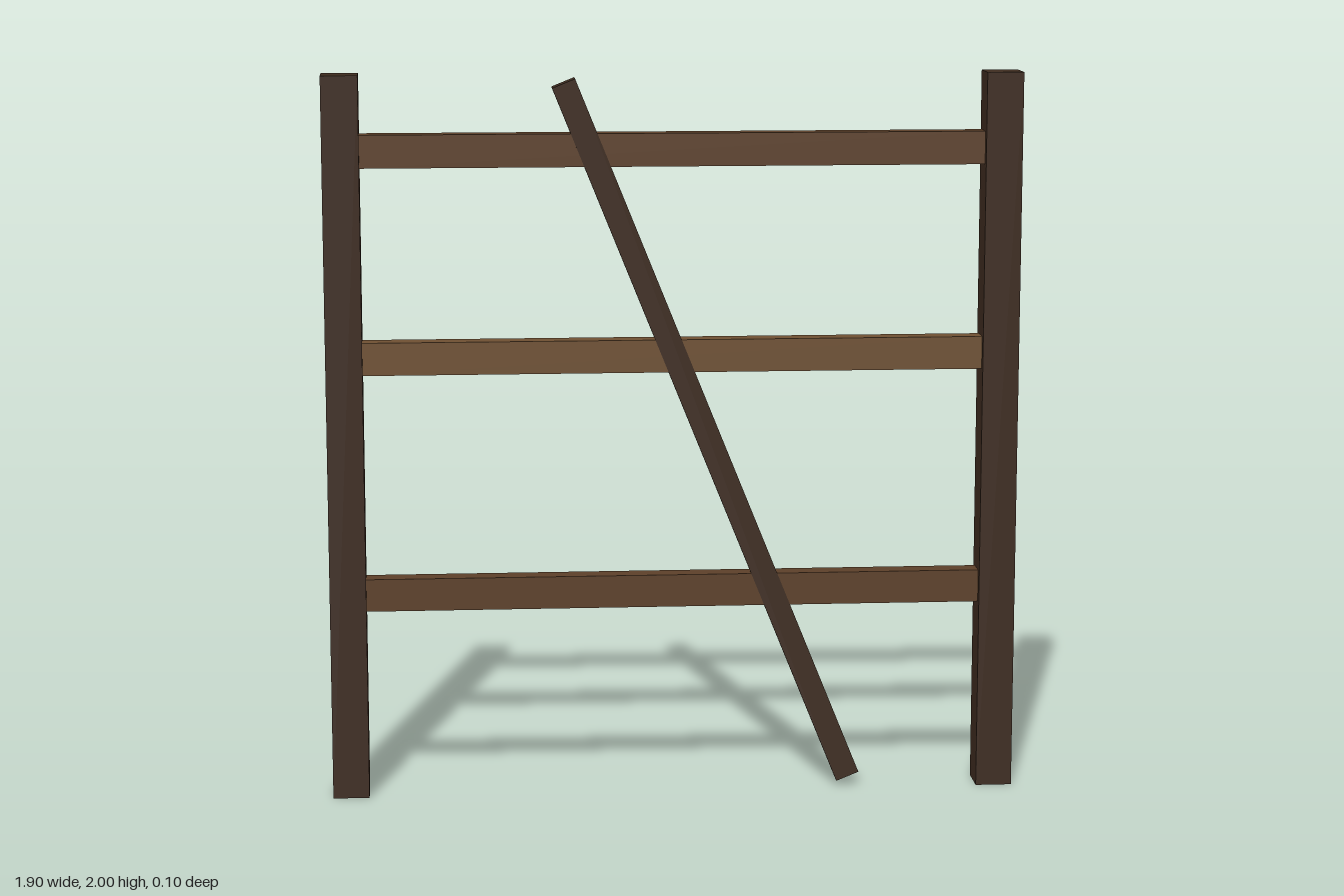
import * as THREE from 'three';

const darkWood = new THREE.MeshStandardMaterial({ color: 0x3d2b1f });
const brownWood = new THREE.MeshStandardMaterial({ color: 0x5c4029 });
const lightWood = new THREE.MeshStandardMaterial({ color: 0x6e5032 });

function beam(name, size, position, material) {
  const mesh = new THREE.Mesh(new THREE.BoxGeometry(...size), material);
  mesh.name = name;
  mesh.position.set(...position);
  return mesh;
}

export function createModel() {
  const fence = new THREE.Group();
  fence.name = 'fencePanel';

  // Upright posts at both ends
  for (const [name, side] of [['leftPost', 1], ['rightPost', -1]]) {
    fence.add(beam(name, [0.1, 2, 0.1], [side * 0.9, 1, 0], darkWood));
  }

  // Horizontal rails running into the posts
  const rails = [
    ['bottomRail', 0.571, brownWood],
    ['middleRail', 1.229, lightWood],
    ['topRail', 1.794, brownWood],
  ];
  for (const [name, y, material] of rails) {
    fence.add(beam(name, [1.72, 0.09, 0.06], [0, y, 0], material));
  }

  // Diagonal brace, a hair thicker than the rails it crosses
  const brace = beam('diagonalBrace', [0.067, 2.1, 0.062], [0.095, 1.001, 0], darkWood);
  brace.rotation.z = THREE.MathUtils.degToRad(22);
  fence.add(brace);

  return fence;
}
